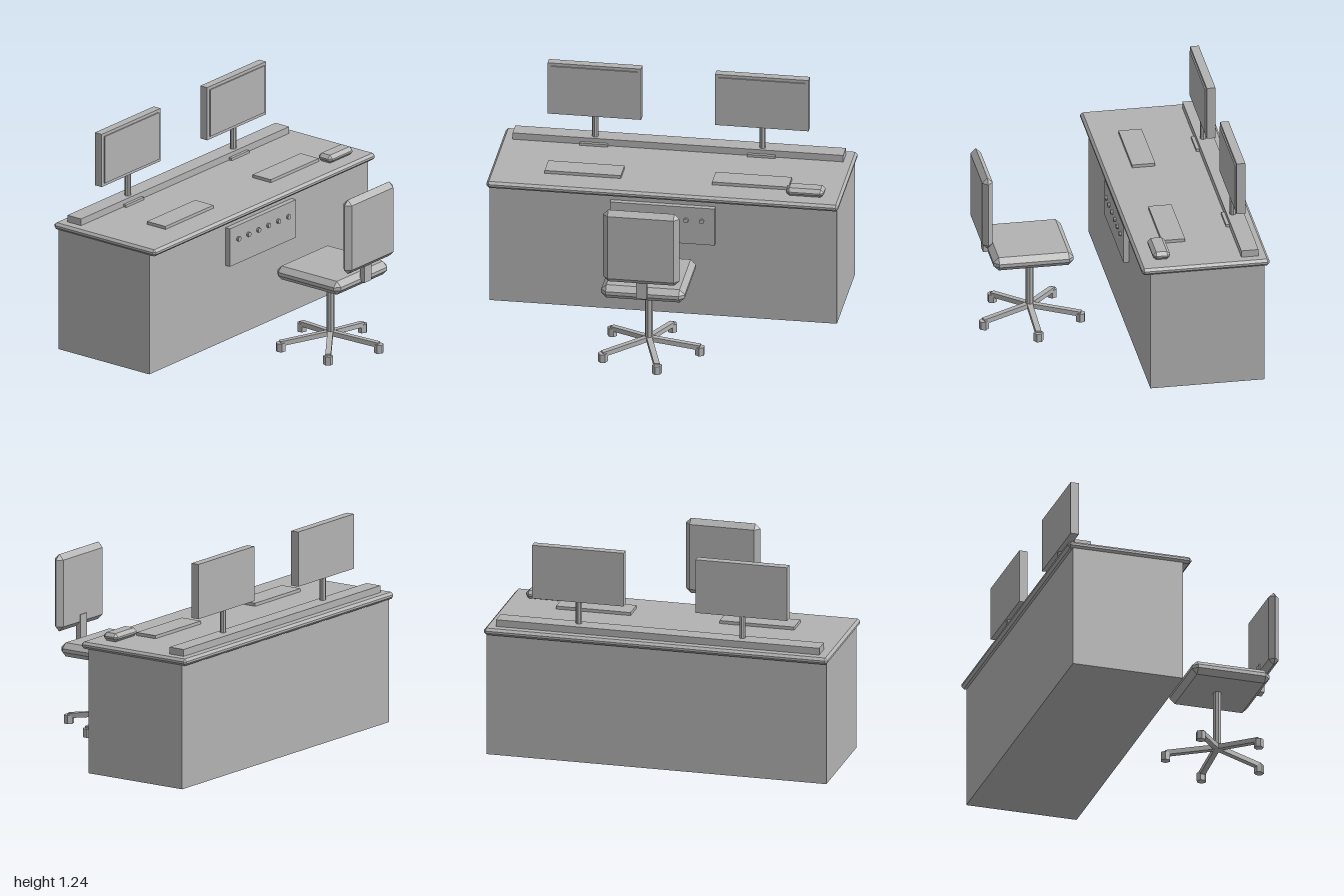
import * as THREE from 'three';
import { ConvexGeometry } from 'three/addons/geometries/ConvexGeometry.js';

export function createModel() {
  const root = new THREE.Group();
  root.name = 'deskWorkstation';
  const grey = new THREE.MeshStandardMaterial({ color: 0xb2b2b2, flatShading: true });
  grey.name = 'plainGrey';

  function add(parent, name, geometry, x, y, z) {
    const mesh = new THREE.Mesh(geometry, grey);
    mesh.name = name;
    mesh.position.set(x, y, z);
    parent.add(mesh);
    return mesh;
  }

  // Box given by its minimum and maximum corners
  function box(parent, name, [x0, y0, z0], [x1, y1, z1]) {
    return add(parent, name, new THREE.BoxGeometry(x1 - x0, y1 - y0, z1 - z0),
      (x0 + x1) / 2, (y0 + y1) / 2, (z0 + z1) / 2);
  }

  // Box with every edge cut at 45 degrees
  function chamferBox(parent, name, [x0, y0, z0], [x1, y1, z1], c) {
    const h = [(x1 - x0) / 2, (y1 - y0) / 2, (z1 - z0) / 2];
    const points = [];
    for (const sx of [-1, 1]) for (const sy of [-1, 1]) for (const sz of [-1, 1]) {
      for (let axis = 0; axis < 3; axis++) {
        const p = h.map((v, i) => (i === axis ? v : v - c));
        points.push(new THREE.Vector3(p[0] * sx, p[1] * sy, p[2] * sz));
      }
    }
    return add(parent, name, new ConvexGeometry(points), (x0 + x1) / 2, (y0 + y1) / 2, (z0 + z1) / 2);
  }

  // Desk
  const desk = new THREE.Group();
  desk.name = 'desk';
  root.add(desk);
  box(desk, 'deskBody', [-0.988, 0, -0.722], [0.988, 0.72, -0.072]);
  chamferBox(desk, 'deskTop', [-1, 0.715, -0.752], [1, 0.755, -0.024], 0.014);
  box(desk, 'rearRiser', [-0.94, 0.75, -0.697], [0.94, 0.795, -0.599]);

  // Front control panel with a row of knobs
  box(desk, 'controlPanel', [-0.298, 0.45, -0.073], [0.298, 0.677, -0.041]);
  for (let i = 0; i < 6; i++) {
    const knob = add(desk, 'knob', new THREE.CylinderGeometry(0.014, 0.014, 0.016, 10),
      -0.225 + i * 0.09, 0.597, -0.036);
    knob.rotation.x = Math.PI / 2;
  }

  // Monitors and keyboards
  for (const side of [-1, 1]) {
    const x = side * 0.476;
    const monitor = new THREE.Group();
    monitor.name = side < 0 ? 'rightMonitor' : 'leftMonitor';
    root.add(monitor);
    box(monitor, 'monitorBase', [x - 0.08, 0.75, -0.68], [x + 0.08, 0.77, -0.58]);
    add(monitor, 'monitorPole', new THREE.CylinderGeometry(0.018, 0.018, 0.17, 8), x, 0.85, -0.633);
    box(monitor, 'monitorCase', [x - 0.266, 0.926, -0.657], [x + 0.266, 1.242, -0.608]);
    box(monitor, 'screen', [x - 0.246, 0.944, -0.608], [x + 0.246, 1.224, -0.601]);
    box(root, 'keyboard', [x - 0.217, 0.75, -0.322], [x + 0.217, 0.773, -0.19]);
  }

  // Small desk device
  chamferBox(root, 'deskDevice', [0.69, 0.755, -0.203], [0.905, 0.803, -0.104], 0.019);

  // Swivel chair
  const chair = new THREE.Group();
  chair.name = 'chair';
  chair.position.z = 0.442;
  root.add(chair);
  chamferBox(chair, 'seat', [-0.238, 0.418, -0.215], [0.238, 0.498, 0.242], 0.03);
  chamferBox(chair, 'backrest', [-0.217, 0.55, 0.243], [0.217, 0.995, 0.303], 0.0295);
  box(chair, 'backSupport', [-0.03, 0.45, 0.238], [0.03, 0.62, 0.27]);
  add(chair, 'column', new THREE.CylinderGeometry(0.023, 0.023, 0.36, 8), 0, 0.245, 0);

  // Five sloping legs, each ending in a caster
  for (let i = 0; i < 5; i++) {
    const arm = new THREE.Group();
    arm.name = 'chairLeg';
    arm.rotation.y = i * Math.PI * 2 / 5;
    chair.add(arm);
    const leg = add(arm, 'legBar', new THREE.BoxGeometry(0.295, 0.028, 0.032), 0.145, 0.064, 0);
    leg.rotation.z = -0.12;
    add(arm, 'caster', new THREE.CylinderGeometry(0.028, 0.028, 0.05, 6), 0.29, 0.025, 0);
  }
  return root;
}
